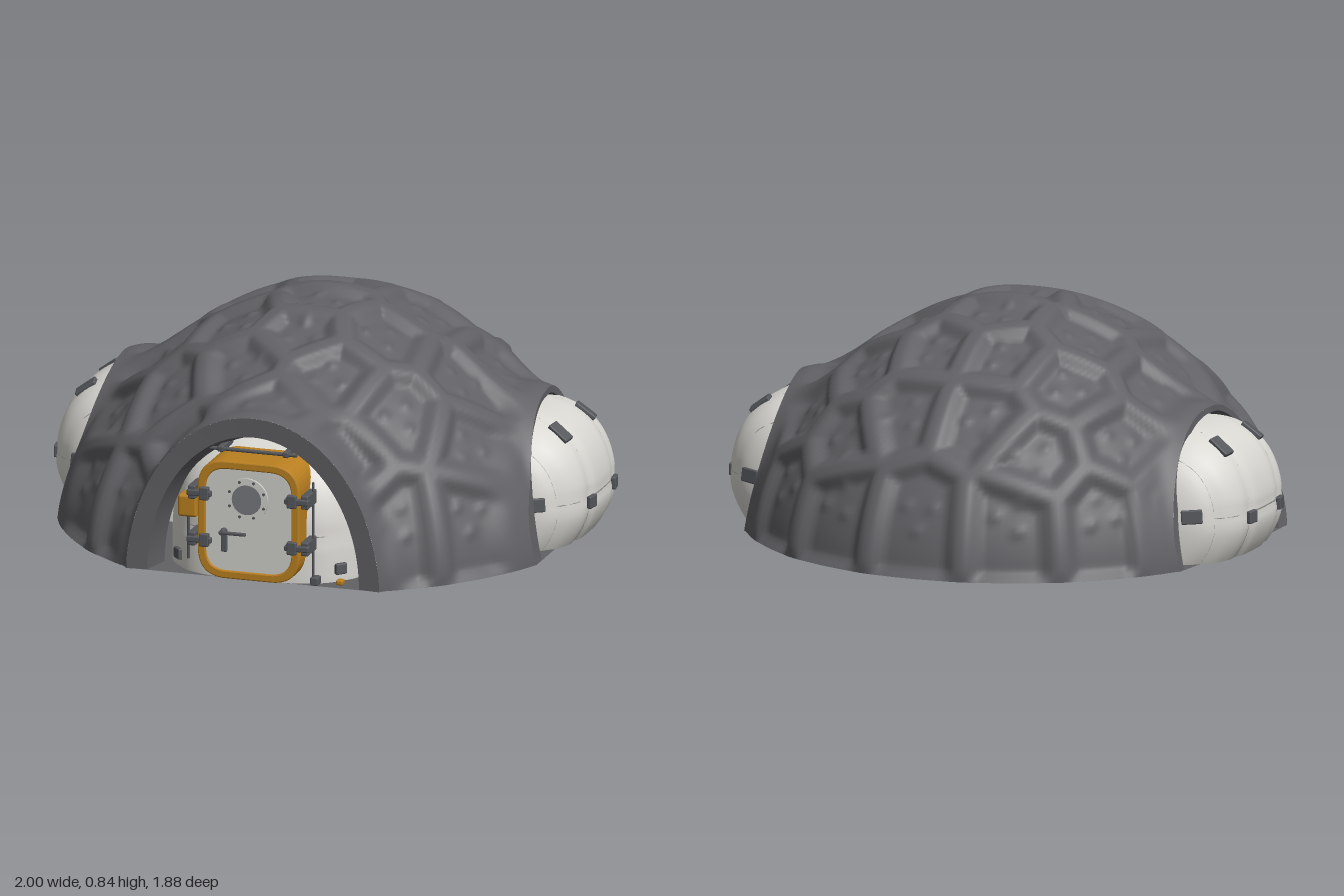
import * as THREE from 'three';
import { mergeVertices } from 'three/addons/utils/BufferGeometryUtils.js';
import { RoundedBoxGeometry } from 'three/addons/geometries/RoundedBoxGeometry.js';

const mat = (name, color, side = THREE.FrontSide) => {
  const m = new THREE.MeshStandardMaterial({ color, side });
  m.name = name;
  return m;
};
const V = (x, y, z) => new THREE.Vector3(x, y, z);
const step = THREE.MathUtils.smoothstep;
const R = 0.95, H = 0.835, SIDE_Z = -0.08, FACE = 0.84, SIDE_FACE = 0.885, SIDE_SLOPE = 0.21, SIDE_SKEW = 0.14;

// Dome profile exponent: more conical sideways, fuller on the diagonals
const power = (x, z) => {
  const s = (x * x) / (x * x + z * z + 1e-9);
  return 1.79 - 0.14 * s + 0.36 * s * (1 - s);
};
const domeRadius = (d) => {
  const p = power(d.x, d.z);
  return Math.pow(Math.pow(Math.hypot(d.x, d.z) / R, p) + Math.pow(Math.max(d.y, 0) / H, p), -1 / p);
};
const domePoint = (x, z) => {
  const p = power(x, z);
  return V(x, H * Math.pow(1 - Math.pow(Math.hypot(x, z) / R, p), 1 / p), z);
};

// Tapered elliptical hood over an opening: distance along (u, v, w) to its surface
function hoodRadius(u, v, w, A, B, c, at, taper) {
  if (w <= 0) return 0;
  const s = 1 + taper * at;
  const a = (u * u) / (A * A) + (v * v) / (B * B) - taper * taper * w * w;
  const b = (-2 * c * u) / (A * A) + 2 * s * taper * w;
  const k = s * s - (c * c) / (A * A);
  return Math.min(5, (2 * k) / (b + Math.sqrt(Math.max(0, b * b + 4 * a * k))));
}
const smoothMax = (a, b, k) => Math.max(a, b) + (Math.max(k - Math.abs(a - b), 0) ** 2) / (4 * k);

// Cell centres on the dome: plan positions, mirrored, then a lower ring by azimuth and radius
const plan = [[0, 0.08], [0, 0.31], [0, -0.17], [0, 0.66], [0, -0.9]];
for (const [x, z] of [[0.13, -0.41], [0.15, -0.67], [0.33, -0.14], [0.38, -0.42], [0.37, -0.7], [0.27, 0.2],
  [0.56, 0.14], [0.44, 0.5], [0.6, -0.12], [0.16, 0.48], [0.61, -0.46], [0.28, 0.74]]) plan.push([x, z], [-x, z]);
for (const [deg, r] of [[34, 0.9], [53, 0.9], [60, 0.77], [118, 0.9], [137, 0.9], [158, 0.9]]) {
  const a = THREE.MathUtils.degToRad(deg);
  plan.push([r * Math.sin(a), r * Math.cos(a)], [-r * Math.sin(a), r * Math.cos(a)]);
}
const cells = plan.map(([x, z], i) => {
  const p = domePoint(x, z);
  const e1 = V(p.z, 0, -p.x).normalize(), e2 = p.clone().cross(e1).normalize();
  const knobs = [0, 1, 2].map((k) => {
    const a = i * 1.7 + k * 2.1;
    return p.clone().addScaledVector(e1, 0.06 * Math.cos(a)).addScaledVector(e2, 0.06 * Math.sin(a));
  });
  return { p, knobs };
});

// Sunken cells between raised ridges, with small knobs on the cell floors
function relief(p) {
  let near = cells[0];
  for (const c of cells) if (c.p.distanceToSquared(p) < near.p.distanceToSquared(p)) near = c;
  let edge = 1;
  for (const c of cells) {
    if (c === near) continue;
    const dist = (c.p.distanceToSquared(p) - near.p.distanceToSquared(p)) / (2 * c.p.distanceTo(near.p));
    edge = Math.min(edge, dist);
  }
  let depth = 0.034 * step(edge, 0.016, 0.075) - 0.004;
  for (const k of near.knobs) depth -= 0.01 * Math.exp(-k.distanceToSquared(p) / 0.0004);
  return depth;
}

// Positive inside the front and side cutting planes
const sideFace = (y, z) => SIDE_FACE - SIDE_SLOPE * y - SIDE_SKEW * Math.max(0, SIDE_Z - z);
const inside = (p) => Math.min(FACE - p.z, sideFace(p.y, p.z) - Math.abs(p.x));

function shellRadius(d) {
  const base = domeRadius(d);
  let t = smoothMax(base, hoodRadius(d.x, d.y, d.z, 0.46, 0.59, 0, FACE, 0.42), 0.04);
  t = smoothMax(t, hoodRadius(d.z, d.y, Math.abs(d.x), 0.385, 0.5, SIDE_Z, 0.8, 0.6), 0.05);
  const q = d.clone().multiplyScalar(t);
  const fade = step(inside(q), 0.03, 0.1) * step(q.y, -0.01, 0.04);
  return fade > 0 ? t - fade * relief(d.clone().multiplyScalar(base)) : t;
}

function shellGeometry(nu = 320, nv = 96) {
  const grid = [], pos = [];
  for (let j = 0; j <= nv; j++) for (let i = 0; i <= nu; i++) {
    const e = (j / nv) * Math.PI / 2, a = ((i % nu) / nu) * Math.PI * 2;
    const d = V(Math.cos(e) * Math.sin(a), Math.sin(e), Math.cos(e) * Math.cos(a));
    grid.push(d.multiplyScalar(shellRadius(d)));
  }
  const addClipped = (tri) => {
    const out = [];
    tri.forEach((p, i) => {
      const q = tri[(i + 1) % 3], fp = inside(p), fq = inside(q);
      if (fp >= 0) out.push(p);
      if ((fp >= 0) !== (fq >= 0)) out.push(p.clone().lerp(q, fp / (fp - fq)));
    });
    for (let i = 2; i < out.length; i++) for (const p of [out[0], out[i - 1], out[i]]) pos.push(p.x, p.y, p.z);
  };
  for (let j = 0; j < nv; j++) for (let i = 0; i < nu; i++) {
    const a = grid[j * (nu + 1) + i], b = grid[j * (nu + 1) + i + 1];
    const c = grid[(j + 1) * (nu + 1) + i + 1], d = grid[(j + 1) * (nu + 1) + i];
    addClipped([a, b, c]);
    if (j < nv - 1) addClipped([a, c, d]);
  }
  const g = new THREE.BufferGeometry();
  g.setAttribute('position', new THREE.Float32BufferAttribute(pos, 3));
  const m = mergeVertices(g, 1e-5);
  m.computeVertexNormals();
  return m;
}

// Strip between two rows of points
function strip(rowA, rowB) {
  const pos = [], idx = [], n = rowA.length;
  for (const p of [...rowA, ...rowB]) pos.push(p.x, p.y, p.z);
  for (let i = 0; i < n - 1; i++) idx.push(i, i + 1, n + i, i + 1, n + i + 1, n + i);
  const g = new THREE.BufferGeometry();
  g.setAttribute('position', new THREE.Float32BufferAttribute(pos, 3));
  g.setIndex(idx);
  g.computeVertexNormals();
  return g;
}

export function createModel() {
  const model = new THREE.Group();
  const rock = mat('shell grey', 0x616165, THREE.DoubleSide), fabric = mat('white fabric', 0xd8d7d2);
  const seamMat = mat('seam grey', 0x989894), metal = mat('dark metal', 0x55575b);
  const yellow = mat('hatch yellow', 0xba8020), panel = mat('door grey', 0xcfcfcb), glass = mat('window grey', 0x77797d);
  const add = (parent, name, geo, m, x = 0, y = 0, z = 0) => {
    const mesh = new THREE.Mesh(geo, m);
    mesh.name = name;
    mesh.position.set(x, y, z);
    parent.add(mesh);
    return mesh;
  };
  const box = (w, h, d, r = 0.005) => new RoundedBoxGeometry(w, h, d, 2, r);

  add(model, 'shell', shellGeometry(), rock);
  const outline = [];
  for (let i = 0; i < 160; i++) {
    const a = (i / 160) * Math.PI * 2, d = V(Math.cos(a), 0, Math.sin(a)), p = d.clone().multiplyScalar(shellRadius(d));
    const lim = sideFace(0, p.z);
    outline.push(new THREE.Vector2(THREE.MathUtils.clamp(p.x, -lim, lim), Math.min(FACE, p.z)));
  }
  add(model, 'floor', new THREE.ShapeGeometry(new THREE.Shape(outline)), rock, 0, 0.001).rotation.x = Math.PI / 2;

  // Opening lip, tunnel wall and inflated pod; built facing +z, then turned
  function bay(name, turn, offset, o) {
    const g = new THREE.Group();
    g.name = name;
    g.rotation.y = turn;
    g.position.z = offset;
    g.updateMatrix();
    model.add(g);
    const back = Math.sign(turn);
    const at = (a, ru, rv, w) => {
      const u = ru * Math.cos(a), v = rv * Math.sin(a);
      return V(u, v, w - o.slope * v - SIDE_SKEW * Math.max(0, back * u));
    };
    const rows = [[], [], []];
    for (let i = 0; i <= 64; i++) {
      const a = (i / 64) * Math.PI;
      let lo = 0.2, hi = 0.9;
      for (let k = 0; k < 24; k++) {
        const r = (lo + hi) / 2, p = at(a, r, r, o.face).applyMatrix4(g.matrix), len = p.length();
        if (len < shellRadius(p.divideScalar(len))) lo = r; else hi = r;
      }
      rows[0].push(at(a, lo, lo, o.face));
      rows[1].push(at(a, o.U + 0.015, o.top + 0.02, o.face - 0.005));
      rows[2].push(at(a, o.U - 0.01, o.top - 0.01, o.face - 0.12));
    }
    add(g, 'openingLip', strip(rows[0], rows[1]), rock);
    add(g, 'tunnelWall', strip(rows[1], rows[2]), rock);

    const cy = 0.05, Vr = o.top - cy, p = o.power;
    const tuck = (v) => o.tuck * Math.max(0, 0.17 - v) ** 2;
    const groove = (u, v) => 0.012 * (o.seams.reduce((s, x) => s + Math.exp(-((Math.abs(u) - x) ** 2) / 0.0004), 0) +
      0.6 * Math.exp(-((v - 0.17) ** 2) / 0.0004));
    const surface = (u, v) => V(u, v, o.w0 - tuck(v) +
      o.W * Math.pow(Math.max(0, 1 - Math.abs(u / o.U) ** p - Math.abs((v - cy) / Vr) ** p), 1 / p));
    const geo = new THREE.SphereGeometry(1, 112, 56), q = geo.attributes.position;
    for (let i = 0; i < q.count; i++) {
      const x = q.getX(i), y = q.getY(i), z = q.getZ(i);
      const k = Math.pow(Math.abs(x) ** p + Math.abs(y) ** p + Math.abs(z) ** p, -1 / p);
      const u = x * k * o.U, v = Math.max(0.003, cy + y * k * Vr);
      q.setXYZ(i, u, v, o.w0 + z * k * o.W - tuck(v) - Math.max(0, z) * groove(u, v));
    }
    geo.computeVertexNormals();
    add(g, 'inflatedPod', geo, fabric);

    // Stitched seams and strap buckles
    const tube = (pts) => new THREE.TubeGeometry(new THREE.CatmullRomCurve3(pts), 40, 0.003, 5);
    const sunk = (u, v) => surface(u, v).add(V(0, 0, -groove(u, v)));
    for (const s of [-1, 1]) {
      for (const u of o.seams) {
        const reach = cy + Vr * Math.pow(1 - (u / o.U) ** p, 1 / p) - 0.02;
        add(g, 'podSeam', tube([...Array(14)].map((_, i) => sunk(s * u, 0.01 + (i / 13) * (reach - 0.01)))), seamMat);
      }
      for (const [bu, v, w, h] of o.buckles) {
        const u = s * bu, c = surface(u, v), e = 0.01;
        const n = V(-(surface(u + e, v).z - surface(u - e, v).z) / (2 * e), -(surface(u, v + e).z - surface(u, v - e).z) / (2 * e), 1);
        const b = new THREE.Group();
        b.name = 'buckle';
        b.position.copy(c);
        b.quaternion.setFromUnitVectors(V(0, 0, 1), n.normalize());
        g.add(b);
        add(b, 'bucklePlate', box(w, h, 0.018), metal);
      }
    }
    add(g, 'podCrossSeam', tube([...Array(15)].map((_, i) => sunk((i / 7 - 1) * o.U * 0.93, 0.17))), seamMat);
    return g;
  }
  const side = {
    slope: SIDE_SLOPE, face: SIDE_FACE, U: 0.35, top: 0.465, w0: 0.6, W: 0.395, power: 3, tuck: 2.2, seams: [0.125, 0.27],
    buckles: [[0.125, 0.155, 0.05, 0.045], [0.14, 0.4, 0.05, 0.085], [0.318, 0.18, 0.075, 0.05]],
  };
  bay('leftBay', Math.PI / 2, SIDE_Z, side);
  bay('rightBay', -Math.PI / 2, SIDE_Z, side);
  const front = bay('frontBay', 0, 0, {
    slope: 0, face: FACE, U: 0.375, top: 0.5, w0: 0.45, W: 0.4, power: 3, tuck: 0, seams: [0.3], buckles: [[0.3, 0.05, 0.045, 0.04]],
  });

  // Hatch
  const hatch = new THREE.Group();
  hatch.name = 'hatch';
  hatch.position.set(0.005, 0.232, 0);
  front.add(hatch);
  const rounded = (T, w, h, r) => {
    const s = new T(), x = w / 2, y = h / 2;
    s.moveTo(-x + r, -y).lineTo(x - r, -y).quadraticCurveTo(x, -y, x, -y + r).lineTo(x, y - r).quadraticCurveTo(x, y, x - r, y);
    return s.lineTo(-x + r, y).quadraticCurveTo(-x, y, -x, y - r).lineTo(-x, -y + r).quadraticCurveTo(-x, -y, -x + r, -y);
  };
  const frame = rounded(THREE.Shape, 0.365, 0.42, 0.1);
  frame.holes.push(rounded(THREE.Path, 0.325, 0.38, 0.085));
  const bevel = { bevelThickness: 0.006, bevelSize: 0.005, bevelSegments: 2 };
  add(hatch, 'hatchFrame', new THREE.ExtrudeGeometry(frame, { depth: 0.23, ...bevel }), yellow, 0, 0, 0.67);
  add(hatch, 'hatchDoor', new THREE.ExtrudeGeometry(rounded(THREE.Shape, 0.33, 0.385, 0.085), { depth: 0.2, bevelEnabled: false }), panel, 0, 0, 0.7);
  const disc = (r, t) => new THREE.CylinderGeometry(r, r, t, 32).rotateX(Math.PI / 2);
  add(hatch, 'portholeRing', disc(0.078, 0.012), panel, -0.005, 0.08, 0.902);
  add(hatch, 'portholeGlass', disc(0.054, 0.006), glass, -0.005, 0.08, 0.908);
  for (let i = 0; i < 8; i++) {
    const a = (i + 0.5) * Math.PI / 4;
    add(hatch, 'portholeBolt', disc(0.005, 0.008), metal, -0.005 + 0.068 * Math.cos(a), 0.08 + 0.068 * Math.sin(a), 0.907);
  }
  for (const s of [-1, 1]) for (const y of [-0.08, 0.09]) {
    add(hatch, 'clampArm', box(0.09, 0.022, 0.024), metal, s * 0.18, y, 0.904);
    add(hatch, 'clampBlock', box(0.035, 0.048, 0.026), metal, s * 0.162, y, 0.905);
    add(hatch, 'clampBase', box(0.028, 0.05, 0.1), metal, s * 0.208, y, 0.86);
  }
  // Door handle
  add(hatch, 'handlePivot', disc(0.01, 0.04), metal, -0.09, -0.04, 0.915);
  add(hatch, 'handleBar', box(0.1, 0.012, 0.012, 0.004), metal, -0.05, -0.04, 0.932);
  add(hatch, 'handlePlate', box(0.022, 0.085, 0.012, 0.004), metal, -0.09, -0.075, 0.902);

  // Control box, top rail and service pipes beside the hatch
  const rod = (r, h) => new THREE.CylinderGeometry(r, r, h, 8);
  add(front, 'controlBox', box(0.07, 0.08, 0.07, 0.01), yellow, -0.23, 0.26, 0.845);
  add(front, 'controlBoxCable', rod(0.005, 0.16), metal, -0.235, 0.14, 0.845);
  add(front, 'topRail', rod(0.007, 0.32).rotateZ(Math.PI / 2), metal, -0.01, 0.458, 0.8);
  for (const x of [-0.13, 0.11]) add(front, 'railMount', box(0.022, 0.022, 0.12), metal, x, 0.458, 0.75);
  add(front, 'servicePipe', rod(0.005, 0.36), metal, 0.225, 0.2, 0.845);
  add(front, 'footFitting', box(0.03, 0.03, 0.04), metal, 0.23, 0.02, 0.835);
  add(front, 'footValve', box(0.025, 0.018, 0.03), yellow, 0.31, 0.012, 0.8);
  return model;
}
